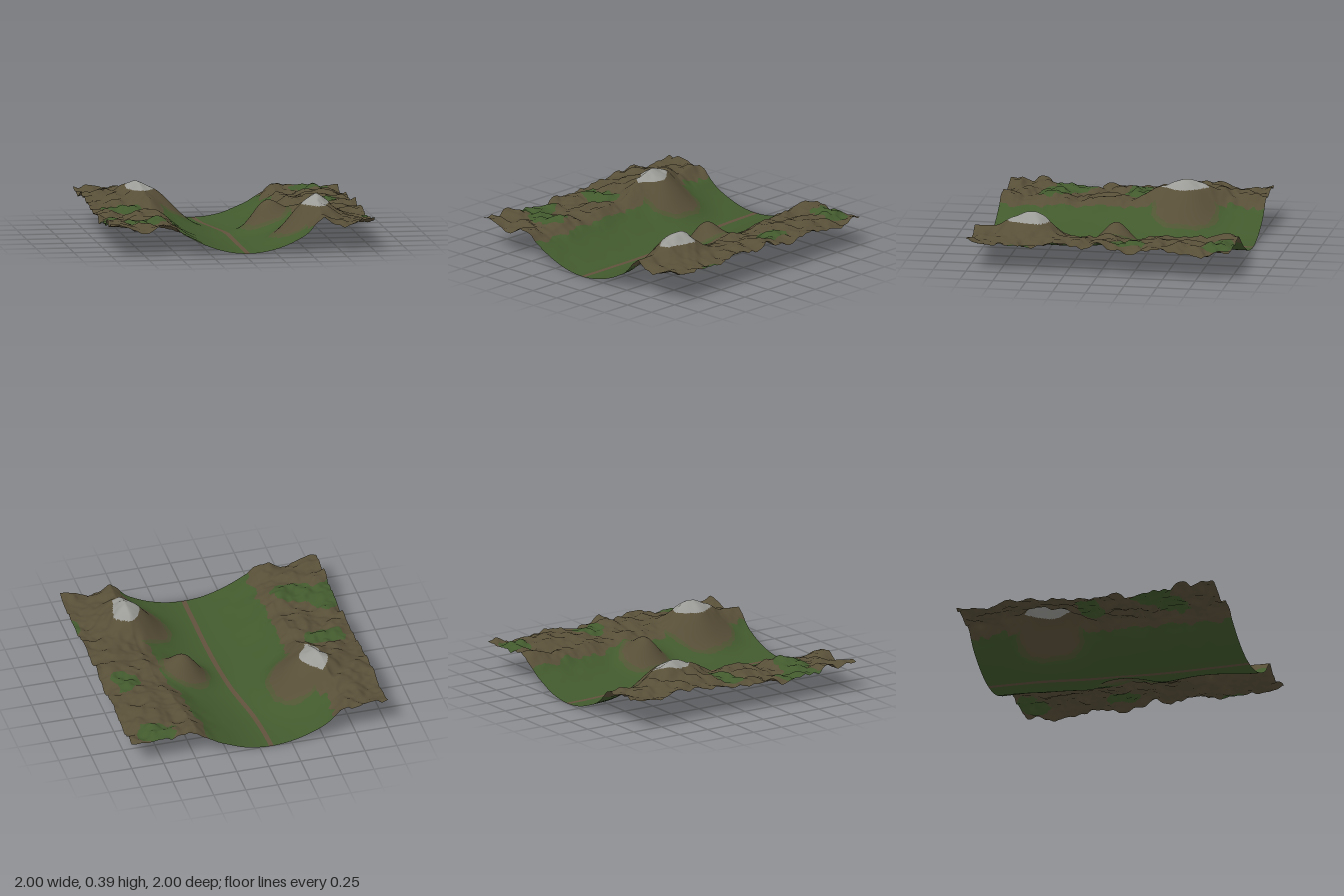
import * as THREE from 'three';

const N = 220; // grid cells per side
const { smoothstep, lerp } = THREE.MathUtils;

// Seeded value noise in -1..1
function hash(i, j) {
  const s = Math.sin(i * 127.1 + j * 311.7 + 17.3) * 43758.5453;
  return (s - Math.floor(s)) * 2 - 1;
}
function noise(x, z) {
  const i = Math.floor(x), j = Math.floor(z);
  const u = smoothstep(x - i, 0, 1), v = smoothstep(z - j, 0, 1);
  return lerp(lerp(hash(i, j), hash(i + 1, j), u), lerp(hash(i, j + 1), hash(i + 1, j + 1), u), v);
}

// Hills: centre, spread, height, and radius of bare earth
const hills = [
  { x: -0.48, z: -0.41, s: 0.165, h: 0.178, r: 0.23 },
  { x: 0.56, z: 0.58, s: 0.15, h: 0.185, r: 0.26 },
  { x: 0.32, z: -0.03, s: 0.1, h: 0.19, r: 0.16 },
  { x: -0.95, z: -0.45, s: 0.15, h: 0.045, r: 0.2 },
];

// Grassy clearings on the highlands: x, z, radius x, radius z
const clearings = [
  [-0.77, -0.01, 0.18, 0.09], [-0.72, 0.61, 0.2, 0.12], [-0.92, 0.53, 0.15, 0.15],
  [0.77, -0.89, 0.16, 0.13], [0.82, -0.2, 0.09, 0.13], [1, 0.6, 0.04, 0.08],
];

// Middle line of the valley
const trailX = (z) => -0.03 + 0.065 * Math.tanh((z + 0.4) / 0.35);

const swell = (x, z, hill) =>
  hill.h * Math.exp(-((x - hill.x) ** 2 + (z - hill.z) ** 2) / (2 * hill.s ** 2));

function height(x, z) {
  const d = Math.abs(x - trailX(z));
  const rise = hills.reduce((sum, hill) => sum + swell(x, z, hill), 0);
  // Crags cover the highlands and soften towards the hilltops
  const rough = smoothstep(d, 0.4, 0.6) * (1 - 3 * Math.min(rise, 0.2));
  // Parabolic valley that levels off into highlands
  const plateau = 0.215 + (x < 0 ? -0.02 * z : 0.005);
  let y = 0.002 + 0.01 * Math.exp(-(((z + 0.05) / 0.3) ** 2)) + Math.min(0.66 * d * d, plateau);
  y += rough * (0.032 * noise(x * 5 + 3, z * 5) + 0.024 * noise(x * 10, z * 12 + 5)
    + 0.012 * noise(x * 22, z * 24));
  y += 0.005 * smoothstep(d, 0.1, 0.4) * noise(x * 9, z * 9);
  return Math.max(y + rise, 0);
}

// Ground cover: 0 grass, 1 earth, 2 trail, 3 snow, 4 dry grass
function cover(x, y, z) {
  const d = Math.abs(x - trailX(z));
  const wobble = noise(x * 9 + 8, z * 9) + 0.5 * noise(x * 22, z * 22);
  if (d < 0.0205) return 2;
  if (y > 0.315 && hills.some((h) => swell(x, z, h) > 0.08)) return 3;
  if (d < 0.5 + 0.045 * wobble) {
    // Distance outside the nearest patch of bare earth
    const out = Math.min(...hills.map((h) => Math.hypot(x - h.x, z - h.z) - h.r)) - 0.018 * wobble;
    if (out < 0) return 1;
    return out < 0.035 ? 4 : 0;
  }
  const grassy = clearings.some(([cx, cz, rx, rz]) =>
    Math.hypot((x - cx) / rx, (z - cz) / rz) < 1 + 0.35 * wobble);
  return grassy ? 0 : 1;
}

function material(name, color) {
  const m = new THREE.MeshStandardMaterial({ color, side: THREE.DoubleSide });
  m.name = name;
  return m;
}

export function createModel() {
  const group = new THREE.Group();
  group.name = 'valleyTerrain';
  const materials = [
    material('grass', 0x42592d),
    material('earth', 0x584f38),
    material('trail', 0x60513c),
    material('snow', 0x9b9b97),
    material('dryGrass', 0x4f5433),
  ];

  // Height field whose columns bend to follow the trail
  const geometry = new THREE.PlaneGeometry(2, 2, N, N).rotateX(-Math.PI / 2);
  const p = geometry.attributes.position;
  for (let i = 0; i < p.count; i++) {
    const z = p.getZ(i), u = p.getX(i);
    const x = u + trailX(z) * (1 - u * u);
    p.setXYZ(i, x, height(x, z), z);
  }
  geometry.computeVertexNormals();

  // Sort the faces into one group for each ground cover
  const faces = materials.map(() => []);
  const index = geometry.index.array;
  for (let f = 0; f < index.length; f += 3) {
    const c = [0, 0, 0];
    for (let k = 0; k < 3; k++) {
      const v = index[f + k];
      c[0] += p.getX(v) / 3;
      c[1] += p.getY(v) / 3;
      c[2] += p.getZ(v) / 3;
    }
    faces[cover(...c)].push(index[f], index[f + 1], index[f + 2]);
  }
  let start = 0;
  faces.forEach((list, m) => {
    geometry.addGroup(start, list.length, m);
    start += list.length;
  });
  geometry.setIndex(faces.flat());

  const terrain = new THREE.Mesh(geometry, materials);
  terrain.name = 'terrain';
  group.add(terrain);
  return group;
}
